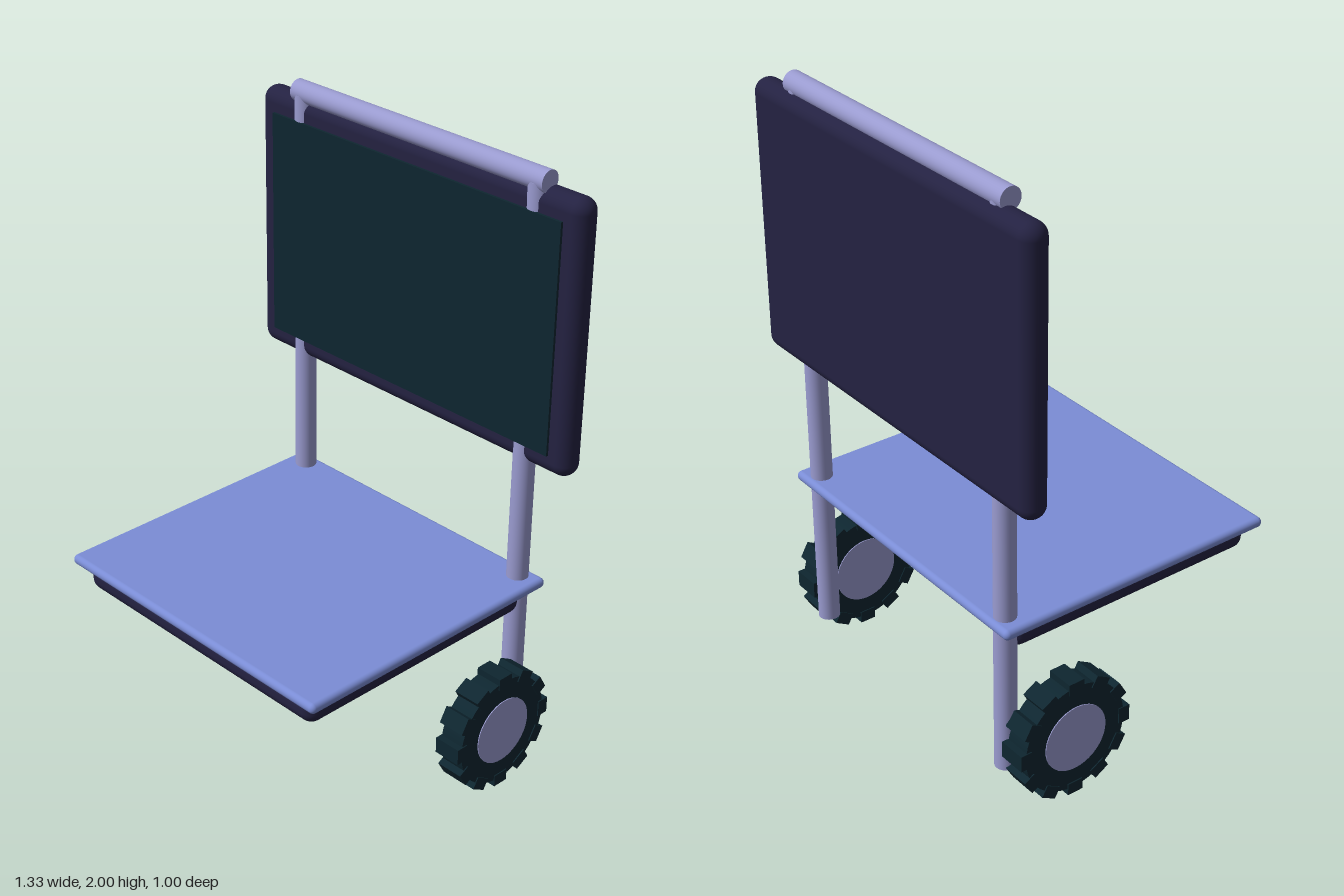
import * as THREE from 'three';
import { RoundedBoxGeometry } from 'three/addons/geometries/RoundedBoxGeometry.js';

const colour = (name, hex) => {
  const m = new THREE.MeshStandardMaterial({ color: hex });
  m.name = name;
  return m;
};

export function createModel() {
  const tubeMat = colour('lavender tube', 0x9a9bd0);
  const seatMat = colour('blue seat', 0x7b8dd6);
  const frameMat = colour('dark indigo', 0x242242);
  const darkMat = colour('dark teal', 0x0e2630);

  const model = new THREE.Group();
  model.name = 'chair';

  const add = (parent, name, geometry, material, x = 0, y = 0, z = 0) => {
    const mesh = new THREE.Mesh(geometry, material);
    mesh.name = name;
    mesh.position.set(x, y, z);
    parent.add(mesh);
    return mesh;
  };

  // Seat: thin top sheet over a thicker dark cushion
  add(model, 'seatTop', new RoundedBoxGeometry(1.11, 0.034, 0.99, 4, 0.0165), seatMat, 0, 0.635, 0.005);
  add(model, 'seatBase', new RoundedBoxGeometry(1.03, 0.09, 0.9, 4, 0.04), frameMat, 0, 0.58, 0.02);

  // Backrest with its front panel
  add(model, 'backrest', new RoundedBoxGeometry(1.33, 0.885, 0.089, 6, 0.044), frameMat, 0, 1.507, -0.456);
  add(model, 'backPanel', new THREE.BoxGeometry(1.19, 0.744, 0.009), darkMat, 0, 1.505, -0.4075);

  // Handle bar across the top
  const bar = add(model, 'handleBar', new THREE.CylinderGeometry(0.035, 0.035, 1.032, 32), tubeMat, 0, 1.965, -0.44);
  bar.rotation.z = Math.PI / 2;

  for (const side of [1, -1]) {
    const label = side > 0 ? 'left' : 'right';

    // Upright post
    add(model, label + 'Post', new THREE.CylinderGeometry(0.035, 0.035, 1.845, 32), tubeMat,
      side * 0.481, 1.0375, -0.439);

    // Wheel: tyre, twelve tread blocks and a hub, with its axle along x
    const wheel = new THREE.Group();
    wheel.name = label + 'Wheel';
    wheel.position.set(side * 0.557, 0.205, -0.27);
    model.add(wheel);

    const tyre = add(wheel, 'tyre', new THREE.CylinderGeometry(0.185, 0.185, 0.086, 48), darkMat);
    tyre.rotation.z = Math.PI / 2;
    const hub = add(wheel, 'hub', new THREE.CylinderGeometry(0.113, 0.113, 0.092, 40), tubeMat);
    hub.rotation.z = Math.PI / 2;

    const treadGeometry = new THREE.BoxGeometry(0.093, 0.04, 0.055);
    for (let i = 0; i < 12; i++) {
      const a = (i / 12) * Math.PI * 2;
      const tread = add(wheel, 'tread', treadGeometry, darkMat,
        0, Math.cos(a) * 0.185, Math.sin(a) * 0.185);
      tread.rotation.x = a;
    }
  }

  return model;
}
